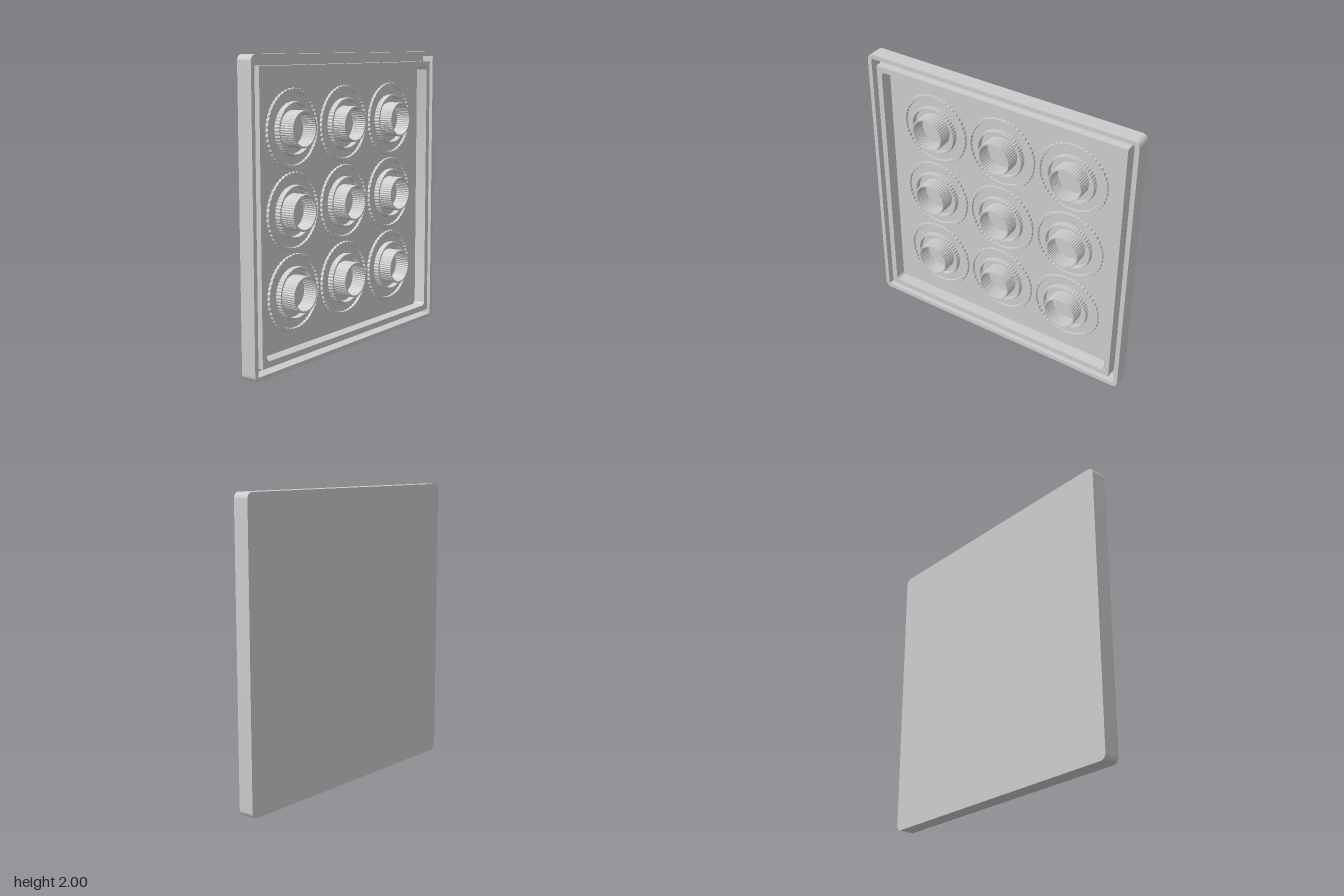
import * as THREE from 'three';
import { toCreasedNormals } from 'three/addons/utils/BufferGeometryUtils.js';

const BACK = -0.065, FLOOR = -0.04, RIM = 0.045;
const material = new THREE.MeshStandardMaterial({ color: 0xcccccc });

// Square outline of half-size h, with optional rounded corners
function square(h, r = 0, PathType = THREE.Shape) {
  const p = new PathType();
  if (r === 0) {
    p.moveTo(-h, -h).lineTo(h, -h).lineTo(h, h).lineTo(-h, h).closePath();
    return p;
  }
  const c = h - r;
  p.absarc(c, -c, r, -Math.PI / 2, 0);
  p.absarc(c, c, r, 0, Math.PI / 2);
  p.absarc(-c, c, r, Math.PI / 2, Math.PI);
  p.absarc(-c, -c, r, Math.PI, Math.PI * 1.5);
  p.closePath();
  return p;
}

// Serrated circle with fine teeth in proportion to the radius
function serrated(radius, PathType = THREE.Shape, teeth = 48) {
  const points = [];
  for (let i = 0; i < teeth * 2; i++) {
    const a = (i / (teeth * 2)) * Math.PI * 2;
    const r = radius * (i % 2 ? 0.985 : 1.01);
    points.push(new THREE.Vector2(Math.cos(a) * r, Math.sin(a) * r));
  }
  return new PathType(points);
}

function extrude(shape, hole, z0, z1) {
  if (hole) shape.holes.push(hole);
  const geo = new THREE.ExtrudeGeometry(shape, { depth: z1 - z0, bevelEnabled: false, curveSegments: 8 });
  return geo.translate(0, 0, z0);
}

function addMesh(parent, name, geo) {
  const mesh = new THREE.Mesh(geo, material);
  mesh.name = name;
  parent.add(mesh);
}

export function createModel() {
  const model = new THREE.Group();
  model.name = 'panel';

  // Tray: back plate, outer rim, groove, inner rim
  const tray = new THREE.Group();
  tray.name = 'tray';
  tray.position.y = 1;
  model.add(tray);
  const smooth = (g) => toCreasedNormals(g, 0.6);
  addMesh(tray, 'backPlate', smooth(extrude(square(1, 0.04), null, BACK, FLOOR)));
  addMesh(tray, 'outerRim', smooth(extrude(square(1, 0.04), square(0.97, 0, THREE.Path), FLOOR, RIM)));
  addMesh(tray, 'innerRim', smooth(extrude(square(0.93), square(0.89, 0.03, THREE.Path), FLOOR, RIM)));

  // Three nested serrated rings, rising toward the centre
  const rings = [
    ['outerRing', 0.255, 0.232, -0.02],
    ['middleRing', 0.172, 0.16, 0.0],
    ['centreRing', 0.118, 0.107, 0.065],
  ].map(([name, outer, inner, top]) => [
    name, extrude(serrated(outer), serrated(inner, THREE.Path), FLOOR, top),
  ]);

  // Three by three grid of ring sets
  for (const y of [-0.53, 0, 0.53]) {
    for (const x of [-0.53, 0, 0.53]) {
      const set = new THREE.Group();
      set.name = 'ringSet';
      set.position.set(x, 1 + y, 0);
      for (const [name, geo] of rings) addMesh(set, name, geo);
      model.add(set);
    }
  }
  return model;
}
